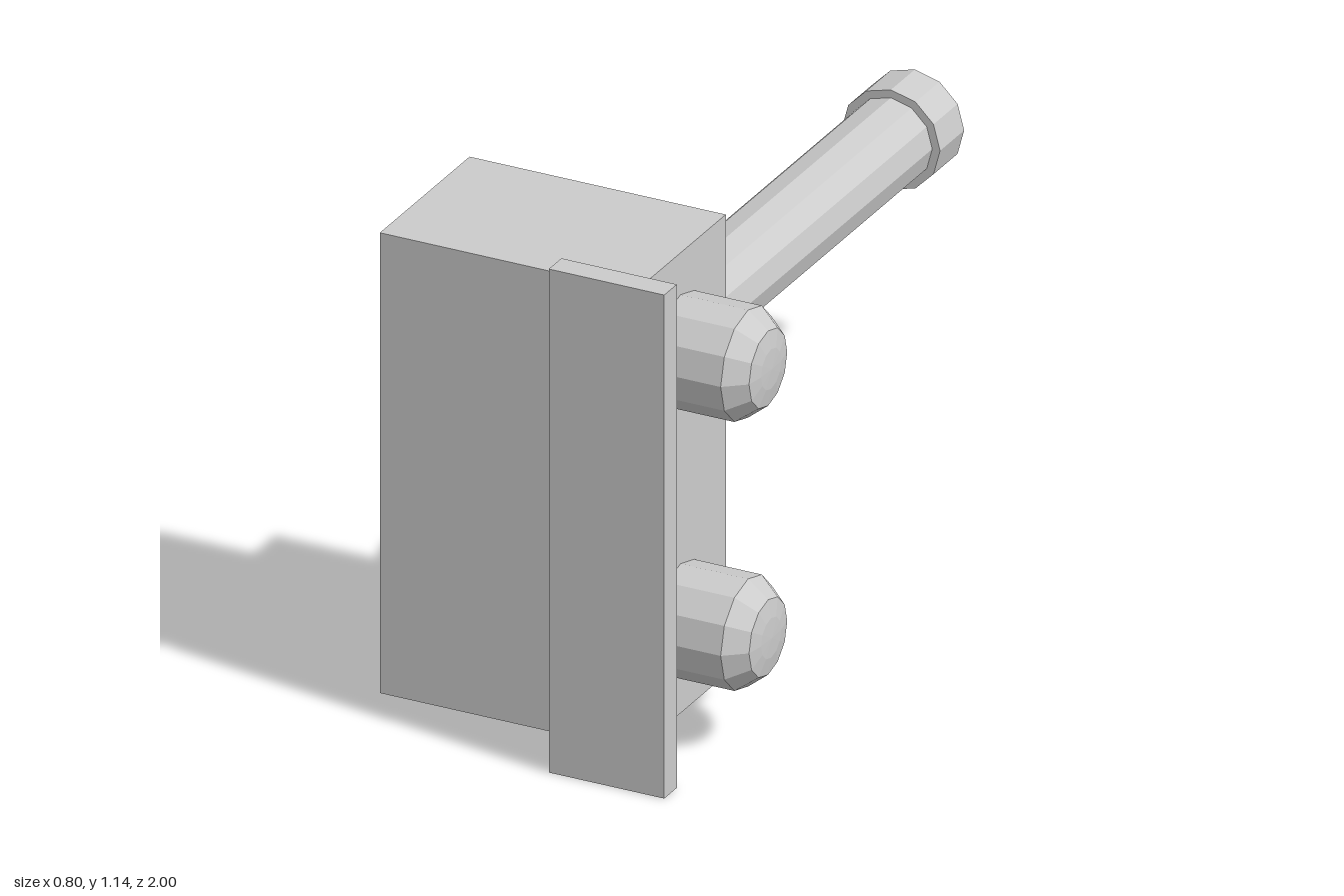
import * as THREE from 'three';

const SIDES = 12;

export function createModel() {
  const model = new THREE.Group();
  const material = new THREE.MeshStandardMaterial({ color: 0xcccccc, flatShading: true });

  const add = (name, geometry) => {
    const mesh = new THREE.Mesh(geometry, material);
    mesh.name = name;
    model.add(mesh);
    return mesh;
  };

  // Box given by its low and high corners
  const box = (name, [x0, y0, z0], [x1, y1, z1]) =>
    add(name, new THREE.BoxGeometry(x1 - x0, y1 - y0, z1 - z0))
      .position.set((x0 + x1) / 2, (y0 + y1) / 2, (z0 + z1) / 2);

  // Turned part from [radius, height] pairs, running up y
  const turned = (name, profile) =>
    add(name, new THREE.LatheGeometry(profile.map(([r, h]) => new THREE.Vector2(r, h)), SIDES));

  // Main block, front plate and rear pad
  box('body', [-0.4, 0.051, 0.523], [0.188, 1.095, 0.922]);
  box('frontPlate', [0.028, 0, 0.944], [0.293, 1.142, 1]);
  box('rearPad', [-0.298, 0.324, 0.391], [-0.031, 0.819, 0.523]);

  // Two chamfered knobs on the left side, pointing along +x
  for (const [name, y] of [['upperKnob', 0.878], ['lowerKnob', 0.268]]) {
    const knob = turned(name, [
      [0, 0], [0.122, 0], [0.122, 0.155], [0.085, 0.201], [0.045, 0.208], [0, 0.21],
    ]);
    knob.rotation.z = -Math.PI / 2;
    knob.position.set(0.188, y, 0.724);
  }

  // Rod with a tapered tip, pointing along -z
  const rod = turned('rod', [[0, 0], [0.08, 0], [0.095, 0.075], [0.095, 1.275], [0, 1.275]]);
  rod.rotation.x = -Math.PI / 2;
  rod.position.set(-0.164, 0.574, 0.382);

  // Collar at the far end of the rod
  const collar = turned('rodEnd', [[0, 0], [0.113, 0], [0.113, 0.107], [0, 0.107]]);
  collar.rotation.x = -Math.PI / 2;
  collar.position.set(-0.164, 0.574, -0.893);

  return model;
}
